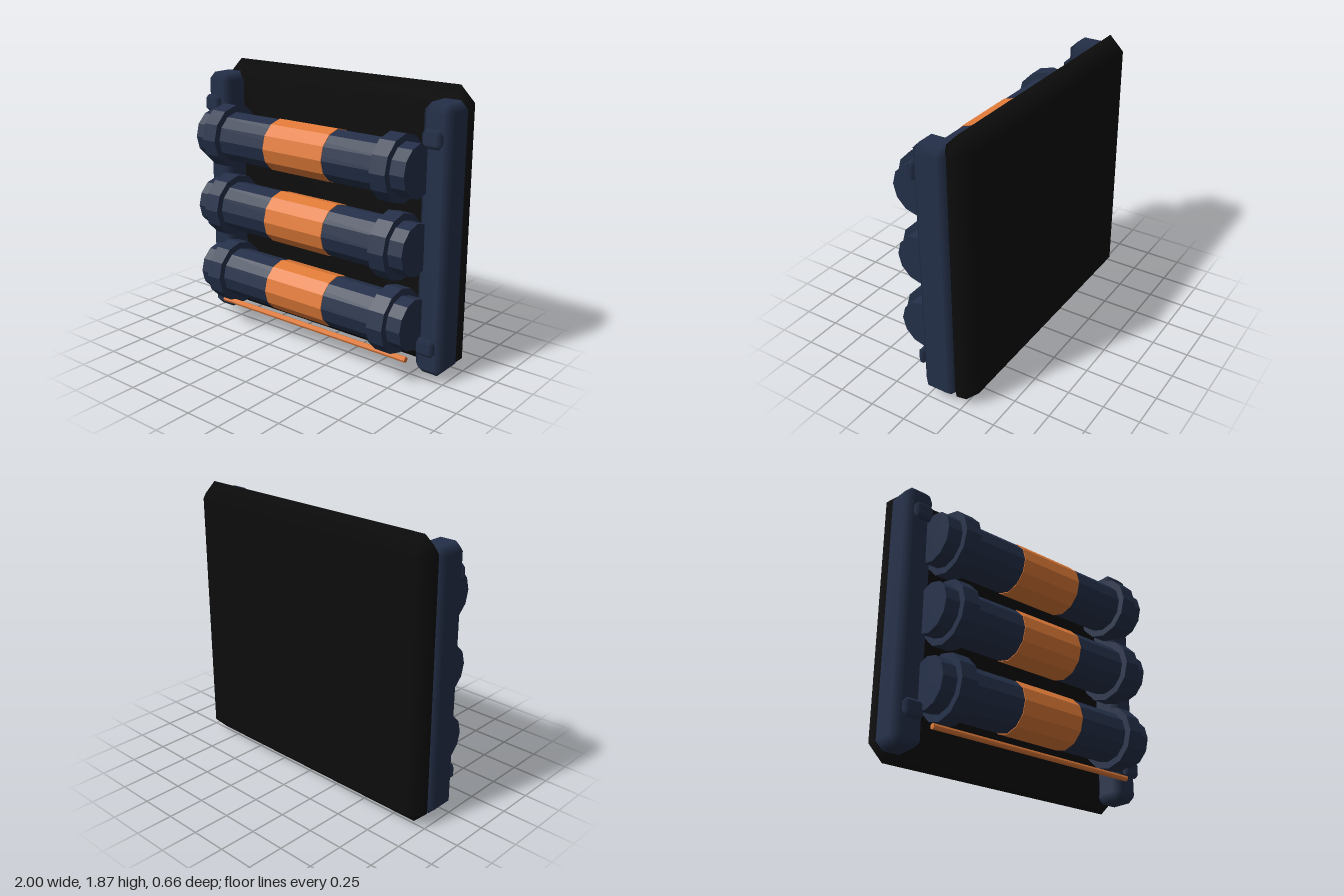
import * as THREE from 'three';
import { ConvexGeometry } from 'three/addons/geometries/ConvexGeometry.js';

const material = (name, color, flatShading = false) => {
  const m = new THREE.MeshStandardMaterial({ color, flatShading });
  m.name = name;
  return m;
};

// Box with one-step bevels of size b, softly shaded across the bevels
function bevelBox(w, h, d, b) {
  const half = [w / 2, h / 2, d / 2];
  const points = [];
  for (const x of [-1, 1]) for (const y of [-1, 1]) for (const z of [-1, 1]) {
    const s = [x, y, z];
    for (let axis = 0; axis < 3; axis++) {
      points.push(new THREE.Vector3(...s.map((v, i) => v * (half[i] - (i === axis ? 0 : b)))));
    }
  }
  const geometry = new ConvexGeometry(points);
  const { position, normal } = geometry.attributes;
  for (let i = 0; i < position.count; i++) {
    const p = [position.getX(i), position.getY(i), position.getZ(i)];
    normal.setXYZ(i, ...p.map((v, k) => (Math.abs(v) > half[k] - b / 2 ? Math.sign(v) : 0)));
  }
  return geometry;
}

// Cylinder lying along x
const bar = (radius, length, sides) =>
  new THREE.CylinderGeometry(radius, radius, length, sides).rotateZ(Math.PI / 2);

export function createModel() {
  const model = new THREE.Group();
  model.name = 'tubeRack';
  const black = material('black', 0x0c0c0c);
  const navy = material('navy', 0x243049, true);
  const orange = material('orange', 0xe07a38, true);
  // Bevelled parts keep their own soft normals
  const softNavy = navy.clone();
  softNavy.name = 'navySoft';
  softNavy.flatShading = false;

  const add = (parent, name, geometry, mat, x, y, z) => {
    const mesh = new THREE.Mesh(geometry, mat);
    mesh.name = name;
    mesh.position.set(x, y, z);
    parent.add(mesh);
  };

  add(model, 'backPanel', bevelBox(2, 1.87, 0.2, 0.1), black, 0, 0.935, -0.23);

  // Side posts with a pad near each end
  const post = bevelBox(0.21, 1.75, 0.24, 0.05);
  const pad = bevelBox(0.145, 0.12, 0.06, 0.03);
  for (const [side, s] of [['left', 1], ['right', -1]]) {
    add(model, side + 'Post', post, softNavy, s * 0.895, 0.918, -0.08);
    add(model, side + 'UpperPad', pad, softNavy, s * 0.898, 1.588, 0.065);
    add(model, side + 'LowerPad', pad, softNavy, s * 0.898, 0.256, 0.065);
  }

  // Three tubes, each with an orange band and two collars
  const tube = bar(0.17, 1.7, 12);
  const band = bar(0.175, 0.48, 12);
  const collar = bar(0.216, 0.115, 12);
  for (let i = 0; i < 3; i++) {
    const unit = new THREE.Group();
    unit.name = 'tubeUnit' + (i + 1);
    unit.position.set(0, 0.412 + i * 0.492, 0.115);
    add(unit, 'tube', tube, navy, 0, 0, 0);
    add(unit, 'band', band, orange, 0, 0, 0);
    add(unit, 'leftCollar', collar, navy, 0.69, 0, 0);
    add(unit, 'rightCollar', collar, navy, -0.69, 0, 0);
    model.add(unit);
  }

  add(model, 'lowerRod', bar(0.02, 1.59, 8), orange, 0, 0.158, 0.118);
  return model;
}
